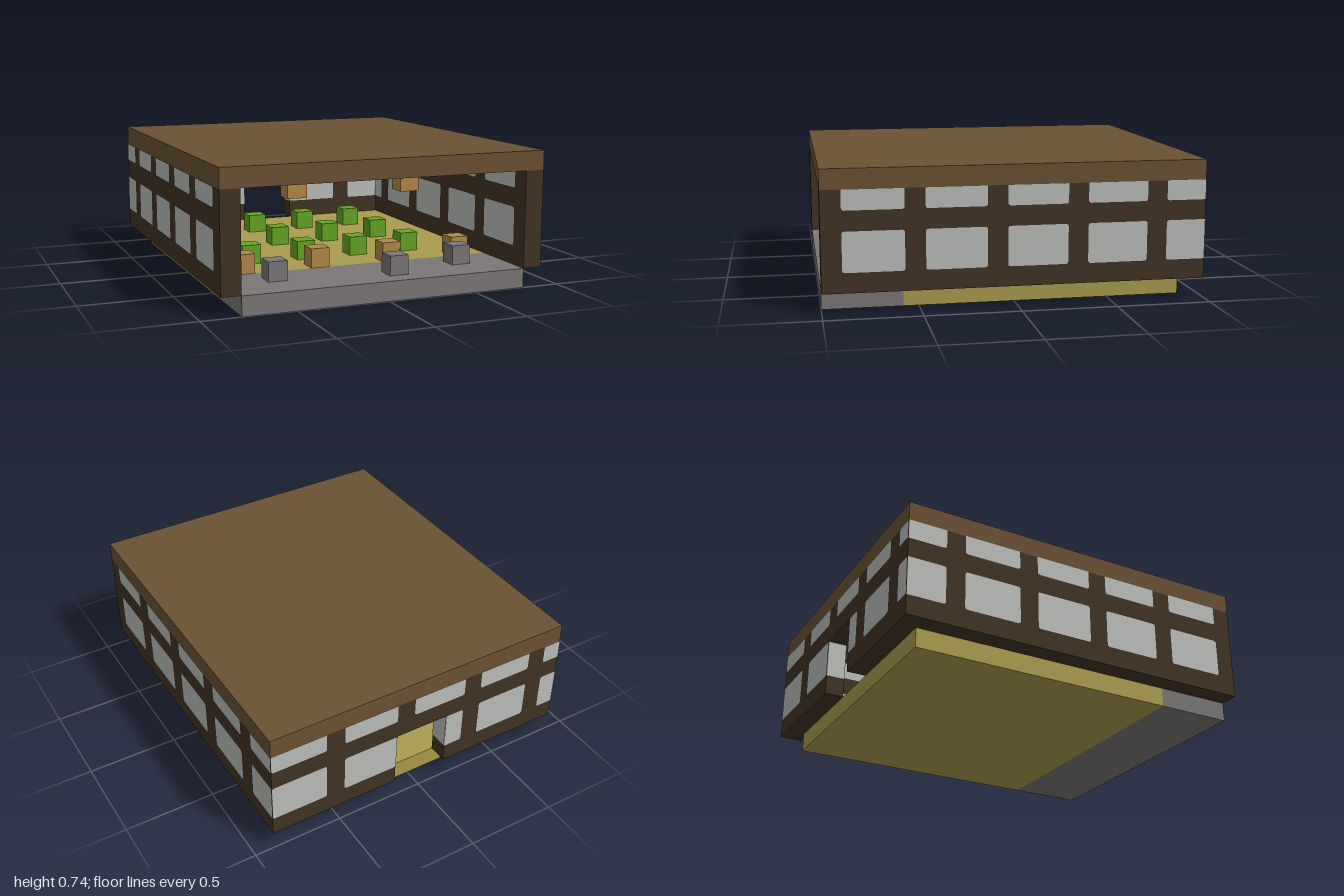
import * as THREE from 'three';

export function createModel() {
  const mat = (name, color) => {
    const m = new THREE.MeshStandardMaterial({ color });
    m.name = name;
    return m;
  };
  const roofBrown = mat('roof brown', 0x6a5234);
  const darkWood = mat('dark wood', 0x413322);
  const glass = mat('window grey', 0xbbbebb);
  const stone = mat('stone grey', 0x7a7776);
  const straw = mat('straw yellow', 0xaa9c4e);
  const orange = mat('orange wood', 0xb18847);
  const green = mat('leaf green', 0x66a524);

  // Everything is laid out in whole blocks, 19 to the longest side
  const model = new THREE.Group();
  model.name = 'openHall';
  const blocks = new THREE.Group();
  blocks.name = 'hall';
  blocks.scale.setScalar(2 / 19);
  model.add(blocks);

  function box(name, material, x0, x1, y0, y1, z0, z1) {
    const mesh = new THREE.Mesh(new THREE.BoxGeometry(x1 - x0, y1 - y0, z1 - z0), material);
    mesh.position.set((x0 + x1) / 2, (y0 + y1) / 2, (z0 + z1) / 2);
    mesh.name = name;
    blocks.add(mesh);
  }
  const cube = (name, material, x, y, z) =>
    box(name, material, x - 0.5, x + 0.5, y, y + 1, z - 0.5, z + 0.5);

  // Floor and roof
  box('stoneFloor', stone, -7.5, 7.5, 0, 1, 5.5, 9.5);
  box('strawFloor', straw, -7.5, 7.5, 0, 1, -8.5, 5.5);
  box('roof', roofBrown, -8.5, 8.5, 6, 7, -9.5, 9.5);

  // Side walls, and a back wall with a doorway
  for (const s of [-1, 1]) {
    box('sideWall', darkWood, s * 8 - 0.5, s * 8 + 0.5, 1, 6, -9.5, 9.5);
    box('backWall', darkWood, s * 4.5 - 3, s * 4.5 + 3, 1, 6, -9.5, -8.5);
  }
  box('doorLintel', darkWood, -1.5, 1.5, 4, 6, -9.5, -8.5);

  // Pane outline; corners are rounded only where the pane is not cut off
  function paneShape(u0, u1, y0, y1, roundLeft, roundRight, roundTop) {
    const r = 0.14;
    const bl = roundLeft ? r : 0, br = roundRight ? r : 0;
    const tl = roundLeft && roundTop ? r : 0, tr = roundRight && roundTop ? r : 0;
    const s = new THREE.Shape();
    s.moveTo(u0 + bl, y0);
    s.lineTo(u1 - br, y0);
    if (br) s.quadraticCurveTo(u1, y0, u1, y0 + br);
    s.lineTo(u1, y1 - tr);
    if (tr) s.quadraticCurveTo(u1, y1, u1 - tr, y1);
    s.lineTo(u0 + tl, y1);
    if (tl) s.quadraticCurveTo(u0, y1, u0, y1 - tl);
    s.lineTo(u0, y0 + bl);
    if (bl) s.quadraticCurveTo(u0, y0, u0 + bl, y0);
    return s;
  }

  // Rows of panes on one wall face; a pane is three blocks wide, with one between.
  // sign flips the wall axis into the face's own left-to-right direction.
  function windows(name, turn, sign, offset, from, to, y0, y1) {
    const shapes = [];
    for (let start = -10.5; start < 9; start += 4) {
      const a = Math.max(start, from), b = Math.min(start + 3, to);
      if (b - a < 0.5) continue;
      const lowRound = a === start, highRound = b === start + 3;
      shapes.push(sign > 0
        ? paneShape(a, b, y0, y1, lowRound, highRound, y1 < 6)
        : paneShape(-b, -a, y0, y1, highRound, lowRound, y1 < 6));
    }
    const geo = new THREE.ShapeGeometry(shapes, 3);
    geo.translate(0, 0, offset + 0.025);
    geo.rotateY(turn);
    const mesh = new THREE.Mesh(geo, glass);
    mesh.name = name;
    blocks.add(mesh);
  }

  const H = Math.PI / 2;
  for (const [y0, y1] of [[2, 4], [5, 6]]) {
    windows('leftOuterWindows', H, -1, 8.5, -9.5, 9.5, y0, y1);
    windows('rightOuterWindows', -H, 1, 8.5, -9.5, 9.5, y0, y1);
    windows('leftInnerWindows', -H, 1, -7.5, -8.5, 9.5, y0, y1);
    windows('rightInnerWindows', H, -1, -7.5, -8.5, 9.5, y0, y1);
    // The lower back row stops at the doorway
    const spans = y0 === 2 ? [[-8.5, -1.5], [1.5, 8.5]] : [[-8.5, 8.5]];
    for (const [a, b] of spans) {
      windows('backOuterWindows', 2 * H, -1, 9.5, a, b, y0, y1);
      windows('backInnerWindows', 0, 1, -8.5, Math.max(a, -7.5), Math.min(b, 7.5), y0, y1);
    }
  }

  // Grey panels on the sides of the doorway
  for (const s of [-1, 1]) {
    box('doorwayPanel', glass, s * 1.49 - 0.02, s * 1.49 + 0.02, 2, 4, -9.5, -8.5);
  }

  // Blocks standing on the floor
  for (const [x, z] of [[-5, 7], [1, 8], [5, 7]]) cube('stoneBlock', stone, x, 1, z);
  for (const x of [-6, -2, 2, 6]) cube('woodBlock', orange, x, 1, 5);
  for (const x of [-5, -2, 1, 4]) {
    for (const z of [-5, -1, 3]) cube('leafBlock', green, x, 1, z);
  }

  // Blocks hanging from the ceiling
  for (const x of [-4, 2]) {
    for (const z of [-5, 1, 7]) cube('ceilingBlock', orange, x, 5, z);
  }

  return model;
}
